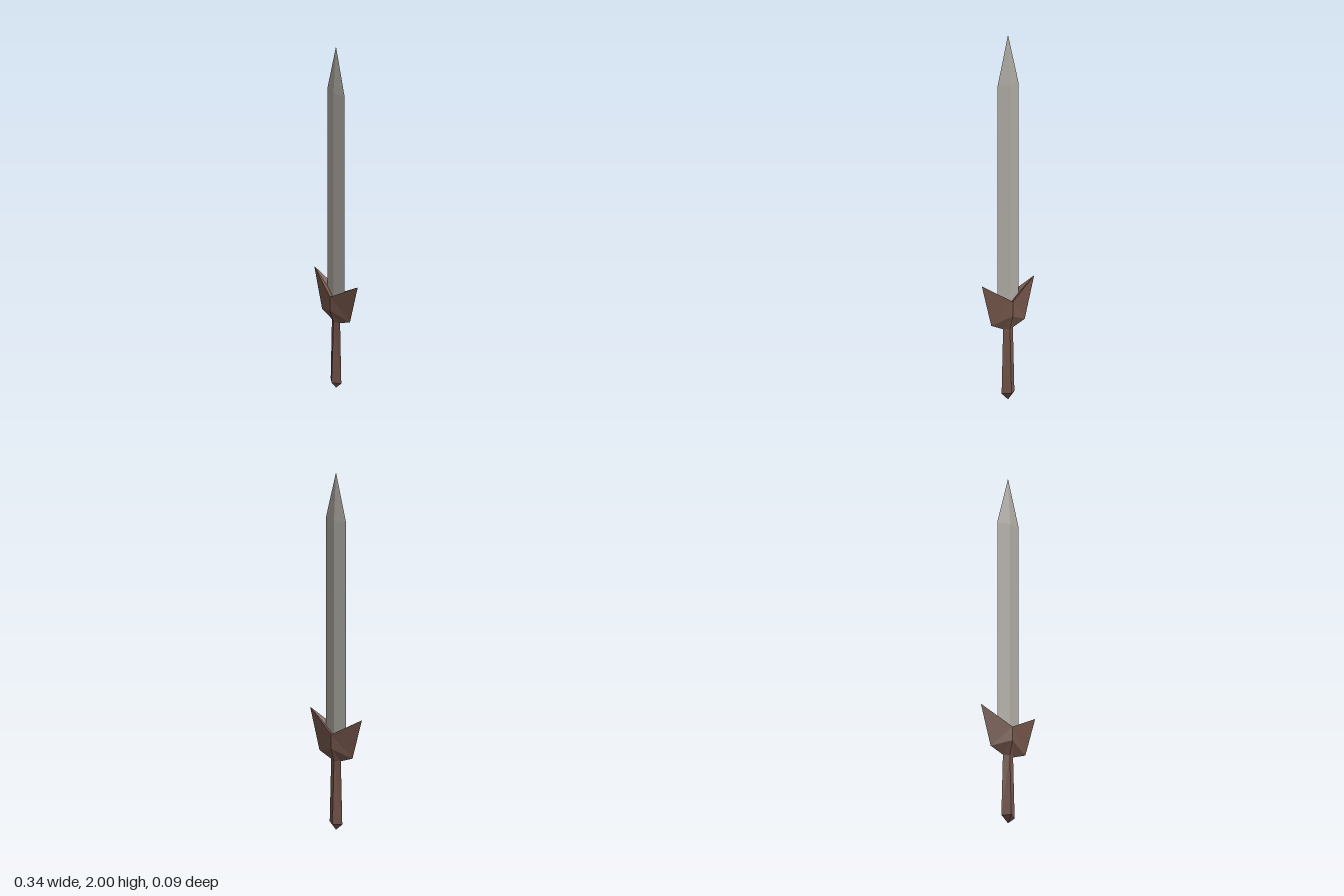
import * as THREE from 'three';

// Joins four-sided diamond rings, each [half width, side y, half depth, front/back y]
function diamondLoft(rings) {
  const corners = rings.map(([w, ys, d, yf]) => [[w, ys, 0], [0, yf, -d], [-w, ys, 0], [0, yf, d]]);
  const pos = [];
  for (let i = 0; i < rings.length - 1; i++) {
    for (let k = 0; k < 4; k++) {
      const n = (k + 1) % 4;
      const a = corners[i][k], b = corners[i][n], c = corners[i + 1][n], e = corners[i + 1][k];
      // Split each quad from the side corner to keep both halves mirrored
      const tris = k % 2 ? [[a, b, e], [b, c, e]] : [[a, b, c], [a, c, e]];
      for (const t of tris) {
        const [p, q, r] = t.map((v) => new THREE.Vector3(...v));
        if (q.sub(p).cross(r.sub(p)).length() > 1e-9) pos.push(...t.flat());
      }
    }
  }
  const geo = new THREE.BufferGeometry();
  geo.setAttribute('position', new THREE.Float32BufferAttribute(pos, 3));
  geo.computeVertexNormals();
  return geo;
}

export function createModel() {
  const steel = new THREE.MeshStandardMaterial({ color: 0xaca8a1, flatShading: true });
  steel.name = 'steel';
  const wood = new THREE.MeshStandardMaterial({ color: 0x74554a, flatShading: true });
  wood.name = 'brown wood';

  const group = new THREE.Group();
  group.name = 'sword';
  const add = (name, rings, material) => {
    const mesh = new THREE.Mesh(diamondLoft(rings), material);
    mesh.name = name;
    group.add(mesh);
  };

  // Blade: constant diamond section drawn to a point
  add('blade', [
    [0.068, 0.5, 0.018, 0.5],
    [0.068, 1.73, 0.018, 1.73],
    [0, 2, 0, 2],
  ], steel);

  // Guard: flares to raised tips, with a hollow top around the blade
  add('guard', [
    [0.032, 0.39, 0.018, 0.39],
    [0.11, 0.422, 0.043, 0.465],
    [0.172, 0.65, 0.043, 0.545],
    [0, 0.52, 0, 0.52],
  ], wood);

  // Handle: widens downwards and ends in a pointed pommel
  add('handle', [
    [0, 0, 0, 0],
    [0.042, 0.038, 0.031, 0.038],
    [0.032, 0.4, 0.017, 0.4],
  ], wood);

  return group;
}
